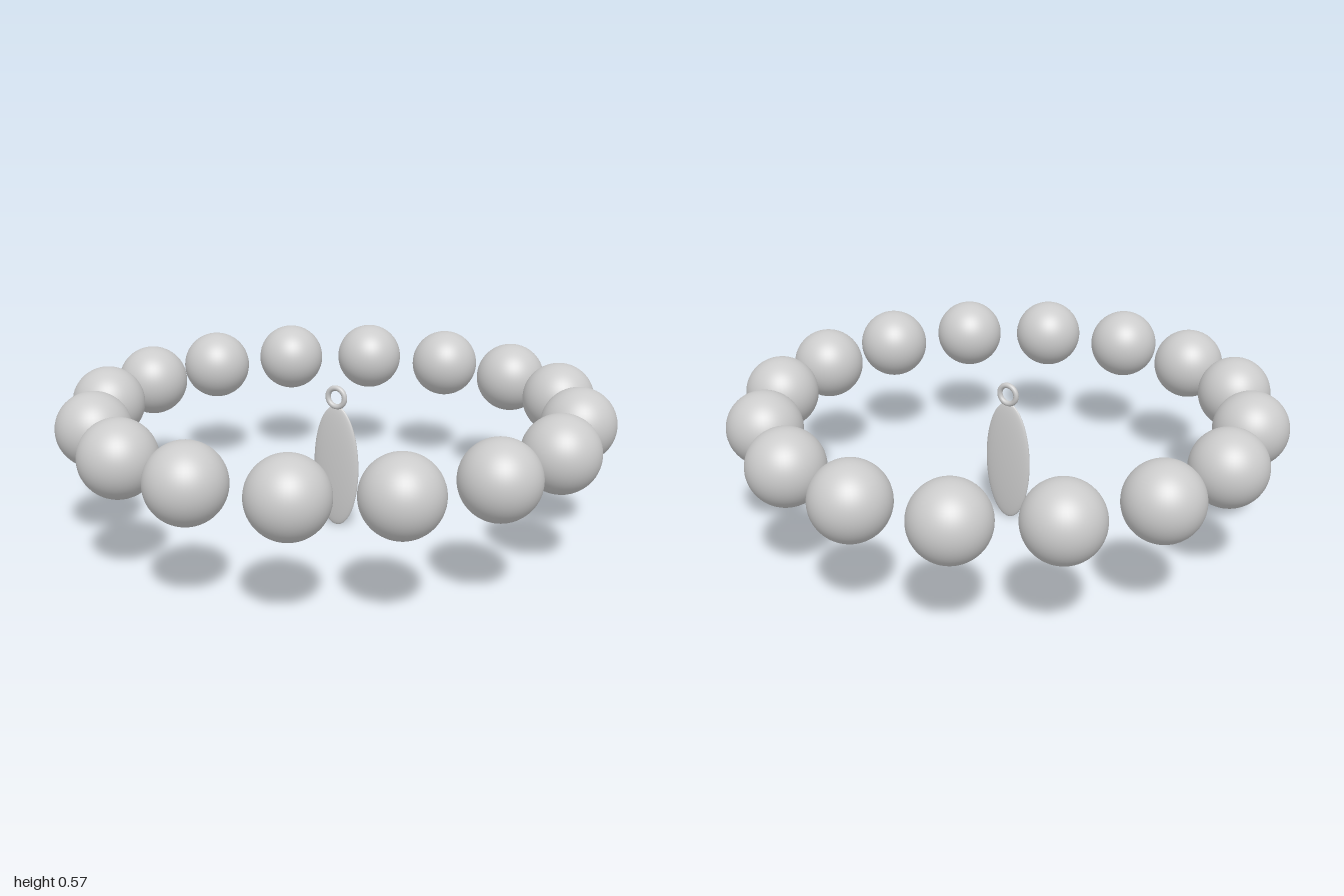
import * as THREE from 'three';

export function createModel() {
  const model = new THREE.Group();
  const material = new THREE.MeshStandardMaterial({ color: 0xcccccc });

  const add = (name, geometry, x, y, z, parent = model) => {
    const mesh = new THREE.Mesh(geometry, material);
    mesh.name = name;
    mesh.position.set(x, y, z);
    parent.add(mesh);
    return mesh;
  };

  // Circle of evenly spaced round beads
  const beadCount = 16, beadRadius = 0.134, ringRadius = 0.866, beadY = 0.436;
  const beads = new THREE.Group();
  beads.name = 'beads';
  model.add(beads);
  const beadGeometry = new THREE.SphereGeometry(beadRadius, 48, 32);
  for (let i = 0; i < beadCount; i++) {
    const a = (i / beadCount) * Math.PI * 2;
    add('bead', beadGeometry, ringRadius * Math.cos(a), beadY, ringRadius * Math.sin(a), beads);
  }

  // Flat oval charm hanging in the middle
  const charm = new THREE.Group();
  charm.name = 'charm';
  model.add(charm);
  const plate = new THREE.SphereGeometry(1, 48, 32).rotateY(Math.PI / 2).scale(0.095, 0.232, 0.019);
  add('charmPlate', plate, 0, 0.232, 0, charm);

  // Small loop on top of the charm
  add('charmLoop', new THREE.TorusGeometry(0.035, 0.01, 16, 40), 0, 0.495, 0, charm);

  return model;
}
